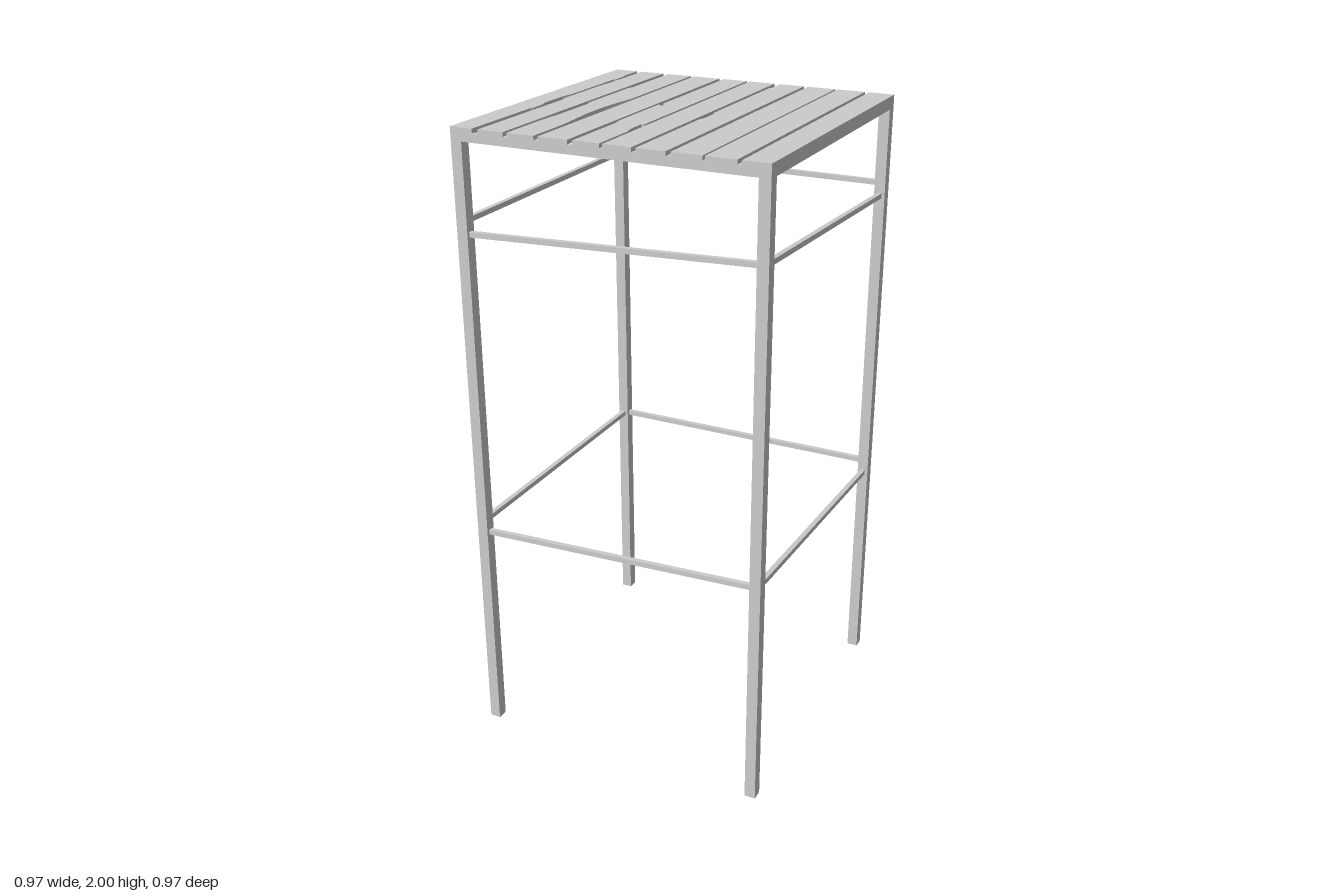
import * as THREE from 'three';

const H = 0.487;       // half width of the stool
const LEG = 0.035;     // leg thickness
const TOP = 2, SLAT = 0.013, FRAME_Y = 1.96;

export function createModel() {
  const model = new THREE.Group();
  const mat = new THREE.MeshStandardMaterial({ color: 0xcccccc, flatShading: true });

  function add(name, geometry, x = 0, y = 0, z = 0, parent = model) {
    const mesh = new THREE.Mesh(geometry, mat);
    mesh.name = name;
    mesh.position.set(x, y, z);
    parent.add(mesh);
    return mesh;
  }
  const box = (w, h, d) => new THREE.BoxGeometry(w, h, d);

  // Four square legs
  const c = H - LEG / 2, inner = H - LEG, legH = TOP - SLAT;
  for (const sx of [-1, 1]) for (const sz of [-1, 1]) add('leg', box(LEG, legH, LEG), sx * c, legH / 2, sz * c);

  // Thin apron plates between the legs and a central bearer under the slats
  const plate = 0.011, apronH = TOP - SLAT - FRAME_Y, apronY = FRAME_Y + apronH / 2;
  for (const s of [-1, 1]) {
    add('apron', box(2 * inner, apronH, plate), 0, apronY, s * (H - plate / 2));
    add('apron', box(plate, apronH, 2 * inner), s * (H - plate / 2), apronY, 0);
  }
  add('centreBearer', box(0.03, apronH, 2 * (H - plate)), 0.004, apronY, 0);

  // Rung along x: one half may sag towards its -x end
  function rung(drop) {
    const g = box(2 * inner, 0.016, 0.016, 2, 1, 1);
    const p = g.attributes.position;
    for (let i = 0; i < p.count; i++) if (p.getX(i) < -0.1) p.setY(i, p.getY(i) - drop);
    g.computeVertexNormals();
    return g;
  }
  for (const y of [0.748, 1.726]) {
    add('frontRung', rung(0.038), 0, y, c);
    add('backRung', rung(0), 0, y, -c);
    add('leftRung', rung(0.038), c, y, 0).rotation.y = -Math.PI / 2;
    add('rightRung', rung(0), -c, y, 0).rotation.y = -Math.PI / 2;
  }

  // Slats: each edge is a list of [x, z] from back to front; a number is a straight edge
  const slats = [
    [-H, [[-0.411, -H], [-0.411, -0.395], [-0.406, -0.385], [-0.406, -0.333], [-0.411, -0.33], [-0.411, -0.06],
      [-0.418, -0.01], [-0.418, 0.1], [-0.41, 0.11], [-0.41, 0.17], [-0.414, 0.18], [-0.414, H]]],
    [[[-0.394, -H], [-0.394, -0.3], [-0.4, -0.2], [-0.4, 0.01], [-0.394, 0.03], [-0.394, H]], -0.313],
    [[[-0.294, -H], [-0.294, -0.235], [-0.3, -0.22], [-0.3, 0.035], [-0.294, 0.043], [-0.294, 0.21], [-0.3, 0.3],
      [-0.3, H]],
    [[-0.211, -H], [-0.211, -0.077], [-0.22, -0.01], [-0.227, 0.067], [-0.227, 0.17], [-0.214, 0.33], [-0.214, H]]],
    [-0.2, -0.108],
    [[[-0.092, -H], [-0.092, -0.05], [-0.074, -0.02], [-0.098, -0.033], [-0.098, 0.21], [-0.092, 0.25], [-0.092, H]],
      [[-0.01, -H], [-0.01, 0.225], [-0.018, 0.23], [-0.018, 0.29], [-0.01, 0.33], [-0.01, H]]],
    [0, 0.087],
    [[[0.106, -H], [0.106, -0.42], [0.1, -0.41], [0.1, 0], [0.106, 0.02], [0.106, 0.08], [0.1, 0.095], [0.1, H]], 0.188],
    [0.202, 0.294],
    [0.301, 0.392],
    [0.405, H],
  ];
  const edge = e => (Array.isArray(e) ? e : [[e, -H], [e, H]]);
  const seat = new THREE.Group();
  seat.name = 'seat';
  model.add(seat);
  for (const [left, right] of slats) {
    const outline = [...edge(left), ...edge(right).slice().reverse()];
    const shape = new THREE.Shape(outline.map(([x, z]) => new THREE.Vector2(x, -z)));
    const g = new THREE.ExtrudeGeometry(shape, { depth: SLAT, bevelEnabled: false });
    g.rotateX(-Math.PI / 2);
    add('slat', g, 0, TOP - SLAT, 0, seat);
  }
  return model;
}
